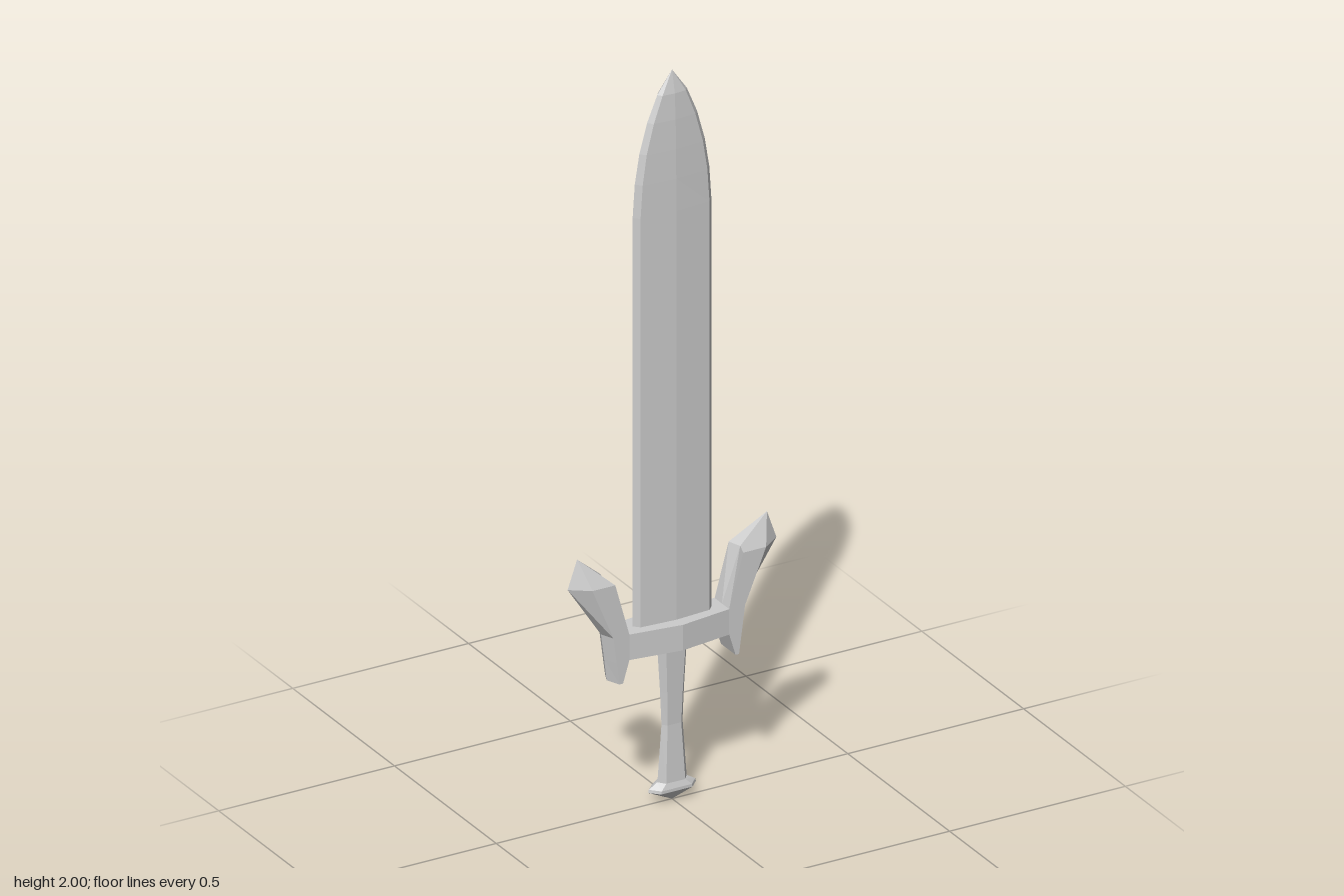
import * as THREE from 'three';

const material = new THREE.MeshStandardMaterial({ color: 0xcccccc, flatShading: true });

// Skin a stack of closed rings; each ring is [y, [[x, z], ...]] listed from +x towards +z
function loft(name, rings) {
  const pos = [];
  const n = rings[0][1].length;
  const at = (i, j) => {
    const [y, pts] = rings[i];
    const [x, z] = pts[j % n];
    return [x, y, z];
  };
  const centre = (i) => {
    const [y, pts] = rings[i];
    return [pts.reduce((s, p) => s + p[0], 0) / n, y, pts.reduce((s, p) => s + p[1], 0) / n];
  };
  const last = rings.length - 1;
  for (let j = 0; j < n; j++) {
    for (let i = 0; i < last; i++) {
      const a = at(i, j), b = at(i, j + 1), c = at(i + 1, j + 1), d = at(i + 1, j);
      pos.push(...a, ...d, ...c, ...a, ...c, ...b);
    }
    pos.push(...centre(0), ...at(0, j), ...at(0, j + 1));
    pos.push(...centre(last), ...at(last, j + 1), ...at(last, j));
  }
  const geometry = new THREE.BufferGeometry();
  geometry.setAttribute('position', new THREE.Float32BufferAttribute(pos, 3));
  geometry.computeVertexNormals();
  const mesh = new THREE.Mesh(geometry, material);
  mesh.name = name;
  return mesh;
}

// Blade section: sharp edges, bevel lines and a central ridge
const bladeRing = ([y, w, flat, bevel, ridge]) => [y, [
  [w, 0], [flat, bevel], [0, ridge], [-flat, bevel],
  [-w, 0], [-flat, -bevel], [0, -ridge], [flat, -bevel],
]];

// Six-sided section for the grip and pommel
const gripRing = ([y, w, d]) => [y, [
  [w, 0], [w * 0.65, d], [-w * 0.65, d],
  [-w, 0], [-w * 0.65, -d], [w * 0.65, -d],
]];

// Prong section: outer ridge, two shoulders and a shallow inner groove
function prongRing([y, inner, shoulder, outer, d, groove], side) {
  const pts = [
    [outer, 0], [shoulder, d], [inner, d],
    [inner + groove, 0], [inner, -d], [shoulder, -d],
  ].map(([x, z]) => [x * side, z]);
  return [y, side < 0 ? pts.reverse() : pts];
}

export function createModel() {
  const sword = new THREE.Group();
  sword.name = 'sword';

  // Blade with a curved, pointed end
  sword.add(loft('blade', [
    [0.49, 0.112, 0.098, 0.015, 0.022],
    [1.62, 0.112, 0.098, 0.015, 0.022],
    [1.71, 0.106, 0.092, 0.015, 0.021],
    [1.79, 0.093, 0.08, 0.014, 0.02],
    [1.87, 0.071, 0.059, 0.013, 0.018],
    [1.94, 0.042, 0.033, 0.011, 0.014],
    [2.0, 0, 0, 0, 0],
  ].map(bladeRing)));

  // Crossguard bar, thickest in the middle
  const bar = [[0.142, 0], [0.142, 0.036], [0, 0.055], [-0.142, 0.036],
    [-0.142, -0.036], [0, -0.055], [0.142, -0.036]];
  sword.add(loft('crossguard', [[0.43, bar], [0.5, bar]]));

  // Flared prongs at both ends of the guard
  for (const side of [1, -1]) {
    sword.add(loft(side > 0 ? 'leftProng' : 'rightProng', [
      [0.37, 0.16, 0.17, 0.186, 0.036, 0],
      [0.43, 0.142, 0.178, 0.193, 0.036, 0],
      [0.5, 0.142, 0.187, 0.202, 0.036, 0],
      [0.645, 0.182, 0.247, 0.297, 0.036, 0.012],
      [0.722, 0.27, 0.27, 0.27, 0, 0],
    ].map((r) => prongRing(r, side))));
  }

  // Waisted grip
  sword.add(loft('grip', [
    [0.05, 0.042, 0.019],
    [0.21, 0.03, 0.012],
    [0.3, 0.034, 0.015],
    [0.44, 0.043, 0.02],
  ].map(gripRing)));

  // Pommel, flared then drawn to a point
  sword.add(loft('pommel', [
    [0, 0, 0],
    [0.032, 0.068, 0.024],
    [0.04, 0.066, 0.024],
    [0.055, 0.042, 0.019],
  ].map(gripRing)));

  return sword;
}
